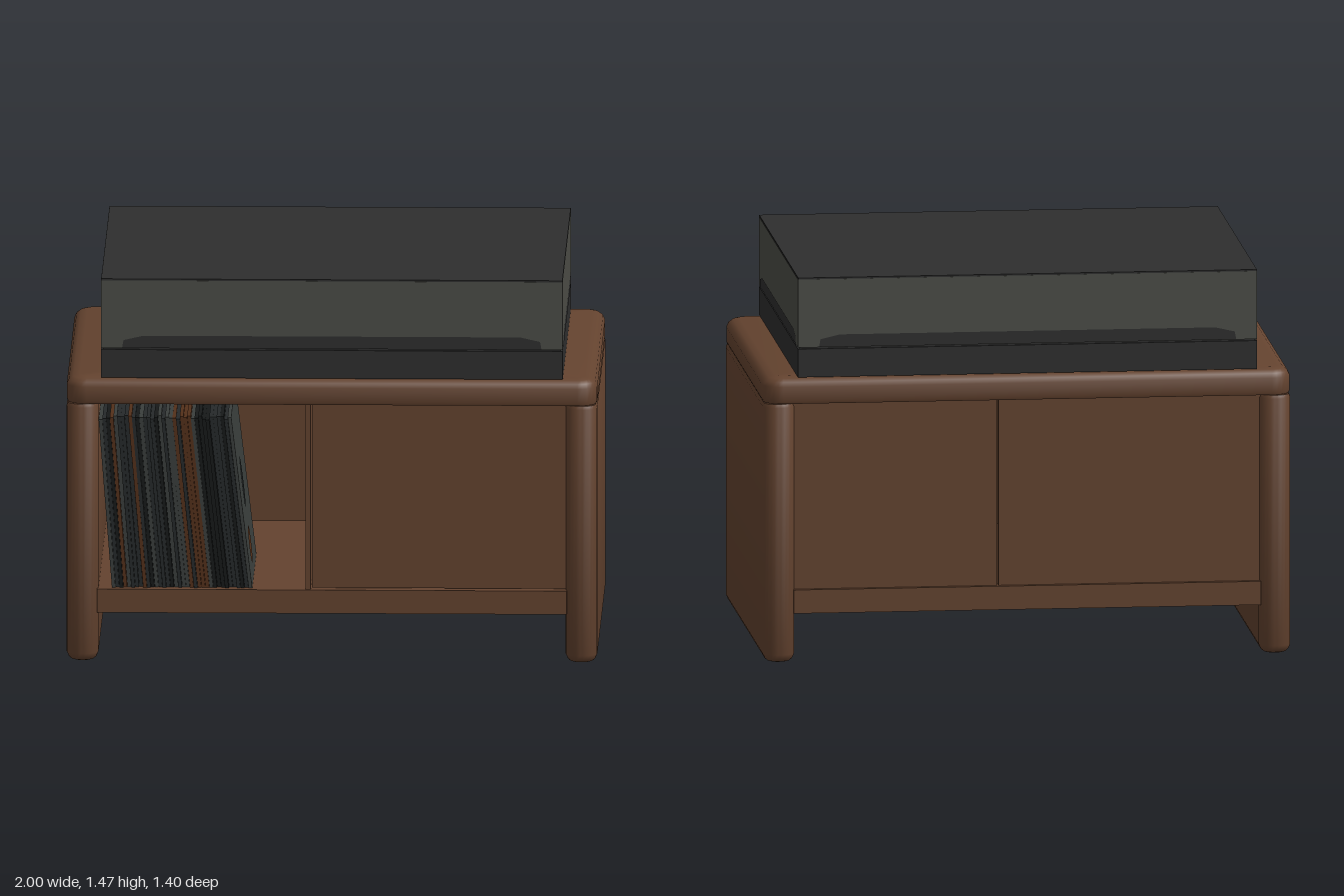
import * as THREE from 'three';
import { toCreasedNormals } from 'three/addons/utils/BufferGeometryUtils.js';

const material = (name, color) => {
  const m = new THREE.MeshStandardMaterial({ color });
  m.name = name;
  return m;
};

// Stack of rounded rectangles; each level is [y, inset]
function roundedSlab(width, depth, radius, levels) {
  const steps = 6;
  const corners = [[1, 1], [-1, 1], [-1, -1], [1, -1]];
  const rings = levels.map(([y, inset]) => {
    const ring = [];
    const r = Math.max(radius - inset, 0.004);
    corners.forEach(([sx, sz], q) => {
      for (let i = 0; i <= steps; i++) {
        const a = (q + i / steps) * Math.PI / 2;
        ring.push([
          sx * (width / 2 - inset - r) + r * Math.cos(a), y,
          sz * (depth / 2 - inset - r) + r * Math.sin(a)]);
      }
    });
    return ring;
  });
  const pos = [];
  const tri = (...pts) => pts.forEach(p => pos.push(...p));
  const n = rings[0].length;
  const last = rings[rings.length - 1];
  for (let i = 0; i < n; i++) {
    const j = (i + 1) % n;
    for (let k = 0; k < rings.length - 1; k++) {
      const lo = rings[k], up = rings[k + 1];
      tri(lo[i], up[i], lo[j]);
      tri(lo[j], up[i], up[j]);
    }
    tri([0, levels[0][0], 0], rings[0][i], rings[0][j]);
    tri([0, last[0][1], 0], last[j], last[i]);
  }
  const g = new THREE.BufferGeometry();
  g.setAttribute('position', new THREE.Float32BufferAttribute(pos, 3));
  return toCreasedNormals(g, 0.7);
}

export function createModel() {
  const model = new THREE.Group();
  model.name = 'recordCabinet';

  const wood = material('walnut', 0x64432f);
  const black = material('plinthBlack', 0x2e2e2e);
  const smoke = material('smokedLid', 0x4c4d47);
  const charcoal = material('charcoalSleeve', 0x25292a);
  const grey = material('greySleeve', 0x3a3e3c);
  const rust = material('rustSleeve', 0x54301a);
  const ink = material('inkSleeve', 0x161919);

  const add = (name, geometry, mat, parent = model) => {
    const mesh = new THREE.Mesh(geometry, mat);
    mesh.name = name;
    parent.add(mesh);
    return mesh;
  };
  // Box given by its minimum and maximum on each axis
  const box = (name, mat, x0, x1, y0, y1, z0, z1, parent) => {
    const g = new THREE.BoxGeometry(x1 - x0, y1 - y0, z1 - z0);
    g.translate((x0 + x1) / 2, (y0 + y1) / 2, (z0 + z1) / 2);
    return add(name, g, mat, parent);
  };

  // Side panels reaching the floor, with rounded ends and feet
  for (const [side, name] of [[-1, 'rightSidePanel'], [1, 'leftSidePanel']]) {
    const g = roundedSlab(0.12, 1.4, 0.055,
      [[0, 0.03], [0.004, 0.017], [0.012, 0.008], [0.03, 0], [0.975, 0], [0.988, 0.006]]);
    add(name, g, wood).position.x = side * 0.94;
  }

  // Cabinet top with softened upper edge
  add('cabinetTop', roundedSlab(2, 1.4, 0.075,
    [[0.99, 0.004], [1.0, 0], [1.055, 0], [1.072, 0.008], [1.084, 0.025], [1.09, 0.05]]), wood);

  // Carcass
  box('bottomShelf', wood, -0.885, 0.885, 0.185, 0.275, -0.68, 0.68);
  box('divider', wood, -0.1, -0.08, 0.275, 0.99, -0.64, 0.67);
  box('frontDoor', wood, -0.075, 0.882, 0.28, 0.985, 0.63, 0.66);
  box('rightBackPanel', wood, -0.885, 0.107, 0.275, 0.99, -0.66, -0.63);
  box('leftBackPanel', wood, 0.113, 0.885, 0.275, 0.99, -0.66, -0.63);

  // Leaning row of record sleeves
  const records = new THREE.Group();
  records.name = 'records';
  model.add(records);
  let seed = 7;
  const rand = () => (seed = (seed * 16807) % 2147483647) / 2147483647;
  const sleeveColours = [charcoal, ink, grey, charcoal, rust, ink, charcoal];
  const count = 36, left = -0.83, right = -0.3, base = 0.276;
  const pitch = (right - left) / count;
  for (let i = 0; i < count; i++) {
    const lastOne = i === count - 1;
    const height = lastOne ? 0.655 : 0.645 + rand() * 0.015;
    const front = lastOne ? 0.65 : 0.635 + rand() * 0.02;
    const lean = 0.05 + 0.03 * i / count;
    const mat = lastOne ? grey : sleeveColours[Math.floor(rand() * sleeveColours.length)];
    const g = new THREE.BoxGeometry(pitch * 0.93, height, 0.66);
    const p = g.attributes.position;
    for (let v = 0; v < p.count; v++) {
      p.setX(v, p.getX(v) - lean * (p.getY(v) / height + 0.5));
    }
    g.computeVertexNormals();
    add('recordSleeve', g, mat, records)
      .position.set(left + pitch * (i + 0.5), base + height / 2, front - 0.33);
  }

  // Printed spots on the outermost sleeve
  const spot = (name, mat, y, z, rz, ry) => {
    const g = new THREE.CircleGeometry(1, 24).scale(rz, ry, 1).rotateY(Math.PI / 2);
    const mesh = add(name, g, mat, records);
    const slope = 0.08 / 0.655;
    mesh.rotation.z = Math.atan(slope);
    mesh.position.set(right + 0.002 - slope * (y - base), y, z);
  };
  spot('sleeveDisc', ink, 0.64, 0.43, 0.075, 0.1);
  spot('sleevePatch', rust, 0.4, 0.43, 0.09, 0.07);

  // Turntable plinth and smoked cover
  box('turntablePlinth', black, -0.87, 0.87, 1.09, 1.198, -0.69, 0.69);
  box('coverSeam', black, -0.862, 0.862, 1.198, 1.204, -0.682, 0.682);
  box('smokedCover', smoke, -0.87, 0.87, 1.204, 1.464, -0.69, 0.69);
  box('coverTop', black, -0.869, 0.869, 1.464, 1.47, -0.689, 0.689);

  // Dark band low on each face of the cover
  const band = (name, half, angle, distance) => {
    const s = new THREE.Shape([
      [-half, 1.206], [half, 1.206], [half - 0.005, 1.235], [half - 0.08, 1.252],
      [-half + 0.08, 1.252], [-half + 0.005, 1.235],
    ].map(([x, y]) => new THREE.Vector2(x, y)));
    const g = new THREE.ShapeGeometry(s).translate(0, 0, distance).rotateY(angle);
    add(name, g, black);
  };
  band('frontCoverBand', 0.79, 0, 0.692);
  band('backCoverBand', 0.79, Math.PI, 0.692);
  band('leftCoverBand', 0.63, Math.PI / 2, 0.872);
  band('rightCoverBand', 0.63, -Math.PI / 2, 0.872);

  return model;
}
